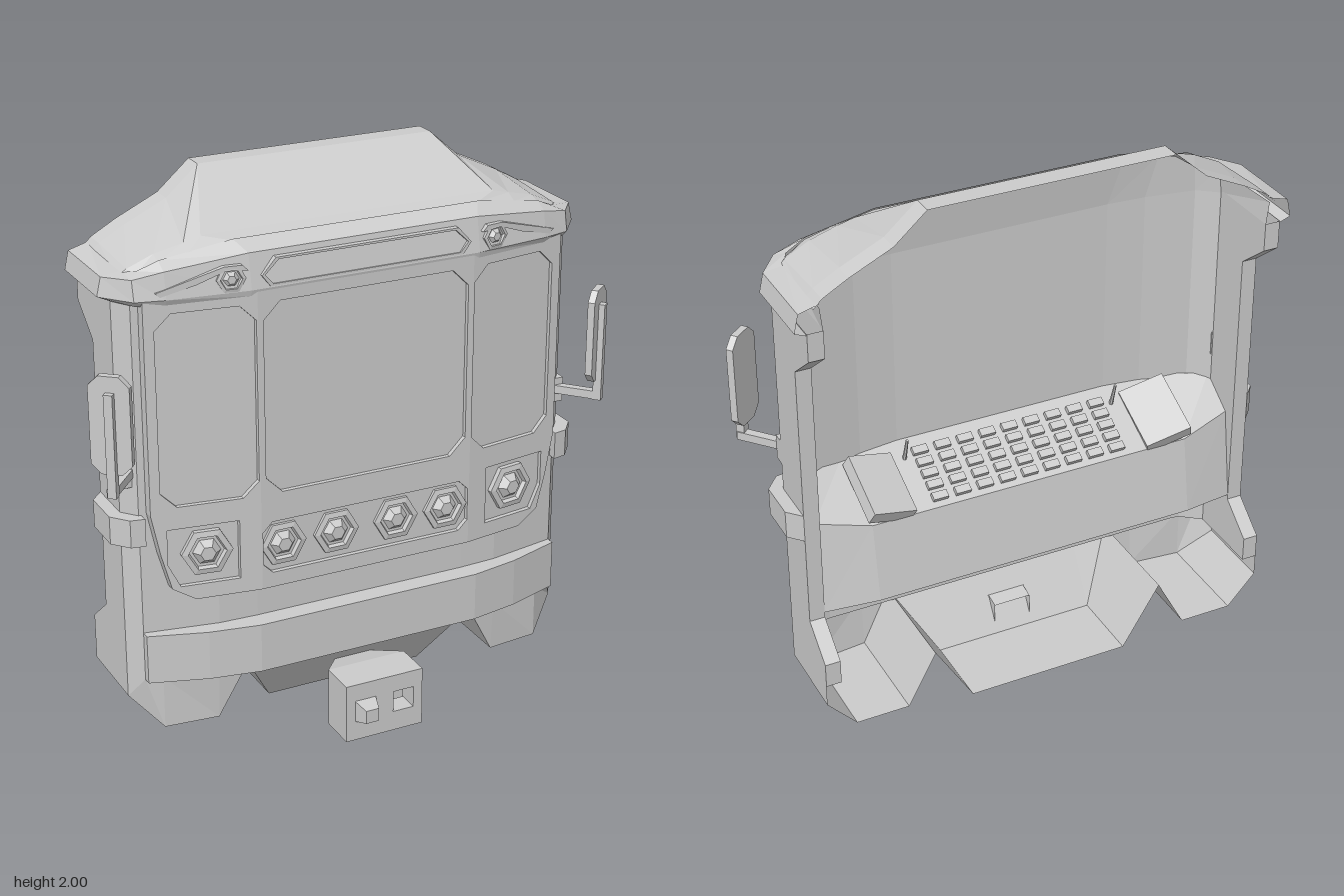
import * as THREE from 'three';

const grey = new THREE.MeshStandardMaterial({ color: 0xcccccc, flatShading: true, side: THREE.DoubleSide });

export function createModel() {
  const root = new THREE.Group();

  const add = (name, geo, x = 0, y = 0, z = 0, parent = root) => {
    const m = new THREE.Mesh(geo, grey);
    m.name = name;
    m.position.set(x, y, z);
    parent.add(m);
    return m;
  };
  const toShape = (pts) => new THREE.Shape(pts.map(([x, y]) => new THREE.Vector2(x, y)));
  // completes a half section (+x side, outside to middle) with its mirror image
  const full = (half) => [...half, ...half.map(([x, y, z]) => [-x, y, z]).reverse()];
  // skin between cross-sections that have equal point counts
  const loft = (sections, closed = false) => {
    const n = sections[0].length, index = [];
    for (let s = 0; s < sections.length - 1; s++)
      for (let i = 0; i < (closed ? n : n - 1); i++) {
        const a = s * n + i, b = s * n + (i + 1) % n;
        index.push(a, b, b + n, a, b + n, a + n);
      }
    const g = new THREE.BufferGeometry();
    g.setAttribute('position', new THREE.Float32BufferAttribute(sections.flat(2), 3));
    g.setIndex(index);
    const flat = g.toNonIndexed();
    flat.computeVertexNormals();
    return flat;
  };
  // plan outline (x, z) raised from y0 to y1
  const planExtrude = (pts, y0, y1) =>
    new THREE.ExtrudeGeometry(toShape(pts.map(([x, z]) => [x, -z])), { depth: y1 - y0, bevelEnabled: false })
      .rotateX(-Math.PI / 2).translate(0, y0, 0);
  // the front sweeps back beyond x = 0.4
  const sweep = (x) => Math.max(0, Math.abs(x) - 0.4) * 0.15;
  const plate = (outline, holes, z0, z1) => {
    const s = toShape(outline);
    s.holes = holes.map(toShape);
    const g = new THREE.ExtrudeGeometry(s, { depth: z1 - z0, bevelEnabled: false });
    const p = g.attributes.position;
    for (let i = 0; i < p.count; i++) p.setZ(i, p.getZ(i) + z0 - sweep(p.getX(i)));
    g.computeVertexNormals();
    return g;
  };
  const chamfered = (x0, x1, y0, y1, c) => [
    [x0 + c, y0], [x1 - c, y0], [x1, y0 + c], [x1, y1 - c],
    [x1 - c, y1], [x0 + c, y1], [x0, y1 - c], [x0, y0 + c]];
  const flip = (pts, s) => pts.map(([x, y]) => [s * x, y]);

  // thick U-shaped wall, rear edge flaring back at top and bottom
  const wall = (y, zr) => [
    ...full([[0.845, y, zr], [0.845, y, -0.02], [0.8, y, 0.035], [0.54, y, 0.083], [0.4, y, 0.09]]),
    ...full([[0.79, y, zr], [0.79, y, -0.04], [0.72, y, 0.015], [0.54, y, 0.045], [0.4, y, 0.055]]).reverse()];
  add('bodyWall', loft([[0.3, -0.325], [0.39, -0.325], [0.49, -0.2], [1.47, -0.2], [1.57, -0.325], [1.67, -0.325]]
    .map(([y, z]) => wall(y, z)), true));

  // skirt and corrugated floor
  const floor = [[0.845, 0.3], [0.845, 0.22], [0.74, 0.105], [0.545, 0.105], [0.44, 0.3], [0.3, 0.07]];
  const frontZ = [-0.02, -0.02, 0.05, 0.07, 0.087, -0.05];
  add('skirt', loft([
    full(floor.map(([x, y]) => [x, y, -0.325])),
    full(floor.map(([x, y], i) => [x, y, frontZ[i]])),
    full([[0.845, 0.3, -0.02], [0.8, 0.3, 0.035], [0.74, 0.3, 0.05], [0.545, 0.3, 0.083], [0.44, 0.3, 0.087], [0.3, 0.3, 0.09]])]));

  // bumper beam
  const beam = [[0.8, 0.02], [0.8, 0.065], [0.6, 0.13], [0.42, 0.163]];
  add('bumper', planExtrude([...beam, ...flip(beam, -1).reverse()], 0.3, 0.48));

  // brow band with a gutter lip along the sides
  add('brow', loft([
    full([[0.845, 1.665, -0.325], [0.845, 1.665, -0.01], [0.79, 1.66, 0.06], [0.7, 1.66, 0.09], [0.42, 1.66, 0.132]]),
    full([[0.885, 1.68, -0.325], [0.885, 1.68, -0.03], [0.8, 1.68, 0.075], [0.7, 1.68, 0.1], [0.42, 1.68, 0.137]]),
    full([[0.87, 1.745, -0.325], [0.87, 1.745, -0.03], [0.8, 1.75, 0.06], [0.7, 1.77, 0.085], [0.42, 1.8, 0.115]]),
    full([[0.8, 1.765, -0.325], [0.8, 1.755, -0.03], [0.77, 1.765, 0.025], [0.7, 1.795, 0.04], [0.45, 1.835, 0.06]])]));

  // raised roof, sloping down to the front
  const crest = [[0.82, 1.75], [0.79, 1.78], [0.7, 1.83], [0.55, 1.9], [0.435, 2]];
  add('roof', loft([
    full(crest.map(([x, y]) => [x, y, -0.325])),
    full(crest.map(([x, y]) => [x, y, -0.25])),
    full([[0.82, 1.74, -0.02], [0.79, 1.765, -0.01], [0.7, 1.805, 0], [0.6, 1.83, 0.01], [0.54, 1.845, 0.01]]),
    full([[0.8, 1.74, 0.0], [0.77, 1.755, 0.025], [0.7, 1.79, 0.04], [0.6, 1.81, 0.05], [0.45, 1.83, 0.06]])]));

  // lining behind the brow, from the top of the inner wall up to the roof
  add('browLining', loft([
    full([[0.79, 1.66, -0.325], [0.79, 1.66, -0.04], [0.72, 1.66, 0.015], [0.54, 1.66, 0.045], [0.4, 1.66, 0.055]]),
    full([[0.8, 1.75, -0.325], [0.78, 1.75, -0.04], [0.71, 1.785, 0.01], [0.58, 1.815, 0.03], [0.45, 1.83, 0.035]])]));

  // front fascia: centre plate and two swept side plates with recessed panes
  const centreWindow = chamfered(-0.38, 0.38, 0.95, 1.63, 0.06);
  const lampBay = chamfered(-0.395, 0.395, 0.655, 0.845, 0.035);
  add('centreFascia', plate([[-0.4, 0.6], [0.4, 0.6], [0.4, 1.68], [-0.4, 1.68]], [centreWindow, lampBay], 0.08, 0.135));
  add('windscreen', plate(centreWindow, [], 0.105, 0.118));
  add('lampBayBack', plate(lampBay, [], 0.105, 0.118));

  // hexagonal lamp: rim, groove and raised lens
  const lamp = (name, x, y, z, r) => {
    const pts = [[1, 0], [1, 0.2], [0.75, 0.25], [0.68, 0.08], [0.55, 0.08], [0.3, 0.35], [0, 0.35]];
    const g = new THREE.LatheGeometry(pts.map(([a, b]) => new THREE.Vector2(a * r, b * r)), 6, Math.PI / 6);
    add(name, g.rotateX(Math.PI / 2), x, y, z).rotation.y = Math.sign(x) * (Math.abs(x) > 0.4 ? 0.15 : 0);
  };
  for (const x of [-0.315, -0.115, 0.115, 0.31]) lamp('centreLamp', x, 0.753, 0.112, 0.085);

  for (const s of [1, -1]) {
    const side = s > 0 ? 'left' : 'right';
    const win = flip(chamfered(0.405, 0.74, 0.95, 1.63, 0.055), s);
    const bay = flip([[0.475, 0.655], [0.68, 0.655], [0.722, 0.74], [0.722, 0.87], [0.475, 0.87]], s);
    const outline = flip([[0.4, 0.6], [0.63, 0.6], [0.71, 0.65], [0.745, 0.78], [0.775, 0.93], [0.775, 1.68], [0.4, 1.68]], s);
    add(side + 'Fascia', plate(outline, [win, bay], 0.08, 0.135));
    add(side + 'SideWindow', plate(win, [], 0.105, 0.118));
    add(side + 'LampBayBack', plate(bay, [], 0.105, 0.118));
    lamp(side + 'Headlamp', s * 0.585, 0.77, 0.09, 0.09);
    lamp(side + 'MarkerLamp', s * 0.485, 1.725, 0.118, 0.05);

    // slim trim bar in the brow over the marker lamp
    add(side + 'BrowTrim', plate(flip(
      [[0.43, 1.75], [0.45, 1.77], [0.51, 1.77], [0.735, 1.705], [0.72, 1.69], [0.6, 1.72], [0.505, 1.755]], s), [], 0.1, 0.143));

    // waist bracket wrapping the corner
    add(side + 'WaistBracket', planExtrude(
      flip([[0.79, 0.07], [0.84, 0.06], [0.89, 0], [0.89, -0.15], [0.845, -0.2], [0.8, -0.2]], s), 0.82, 0.92));

    // mirror on a bent arm
    const mirror = new THREE.Group();
    mirror.name = side + 'Mirror';
    root.add(mirror);
    add('mirrorMount', new THREE.BoxGeometry(0.06, 0.09, 0.06), s * 0.815, 1.065, -0.01, mirror);
    const arm = add('mirrorArm', new THREE.BoxGeometry(0.2, 0.03, 0.03), s * 0.865, 1.07, 0.065, mirror);
    arm.rotation.y = -s * 0.86;
    const post = add('mirrorPost', new THREE.BoxGeometry(0.03, 0.36, 0.03), s * 0.92, 1.235, 0.135, mirror);
    post.rotation.y = -s * 0.86;
    const housing = add('mirrorHousing', new THREE.ExtrudeGeometry(
      toShape(chamfered(-0.07, 0.07, -0.17, 0.17, 0.035)), { depth: 0.025, bevelEnabled: false }).translate(0, 0, -0.0125),
      s * 0.911, 1.3, 0.118, mirror);
    housing.rotation.y = s * 0.7;

    // tilted side console and lever on the desk
    const box = add(side + 'Console', new THREE.BoxGeometry(0.17, 0.05, 0.24), s * 0.53, 0.875, -0.095);
    box.rotation.set(-0.45, 0, s * 0.3);
    const lever = add(side + 'Lever', new THREE.CylinderGeometry(0.005, 0.008, 0.11, 6), s * 0.4, 0.94, -0.02);
    lever.rotation.x = -0.3;
  }

  // destination panel frame in the brow
  const frame = [[-0.385, 1.725], [-0.355, 1.685], [0.355, 1.685], [0.385, 1.725], [0.335, 1.78], [-0.335, 1.78]];
  const inner = frame.map(([x, y]) => [x * 0.97, 1.731 + (y - 1.731) * 0.85]);
  add('signFrame', plate(frame, [inner], 0.11, 0.14));

  // coupler: block with a tapered socket, a peg and a neck running into the front slope
  const socket = [[0.035, 0.075], [0.115, 0.075], [0.115, 0.155], [0.035, 0.155]];
  add('couplerBlock', plate([[-0.15, 0], [0.15, 0], [0.15, 0.22], [-0.15, 0.22]], [socket], 0.13, 0.27));
  for (const [name, x, z] of [['couplerPeg', -0.075, 0.2975], ['couplerSocket', 0.075, 0.19]])
    add(name, new THREE.CylinderGeometry(0.035, 0.057, 0.055, 4, 1, false, Math.PI / 4).rotateX(Math.PI / 2), x, 0.115, z);
  const ring = (w, y0, y1, z) => [[w, y0, z], [w, y1, z], [-w, y1, z], [-w, y0, z]];
  add('couplerNeck', loft([ring(0.15, 0, 0.22, 0.13), ring(0.07, 0.08, 0.19, 0.02), ring(0.07, 0.09, 0.18, -0.03)], true));

  // driver's desk with faceted ends
  const deskSection = (x, pts) => pts.map(([z, y]) => [x, y, z]);
  const end = [[-0.02, 0.93], [-0.15, 0.84], [-0.2, 0.51], [-0.02, 0.42]];
  const mid = [[0.055, 0.94], [-0.19, 0.8], [-0.235, 0.52], [0.055, 0.42]];
  add('desk', loft([deskSection(-0.79, end), deskSection(-0.6, mid), deskSection(0.6, mid), deskSection(0.79, end)], true));

  // rows of buttons on the sloping desk top
  const buttons = new THREE.Group();
  buttons.name = 'deskButtons';
  root.add(buttons);
  for (let r = 0; r < 5; r++)
    for (let c = 0; c < 9; c++) {
      const z = -r * 0.04;
      add('button', new THREE.BoxGeometry(0.055, 0.025, 0.028), (c - 4) * 0.085, 0.945 - (0.055 - z) * 0.571, z, buttons).rotation.x = -0.52;
    }
  return root;
}
